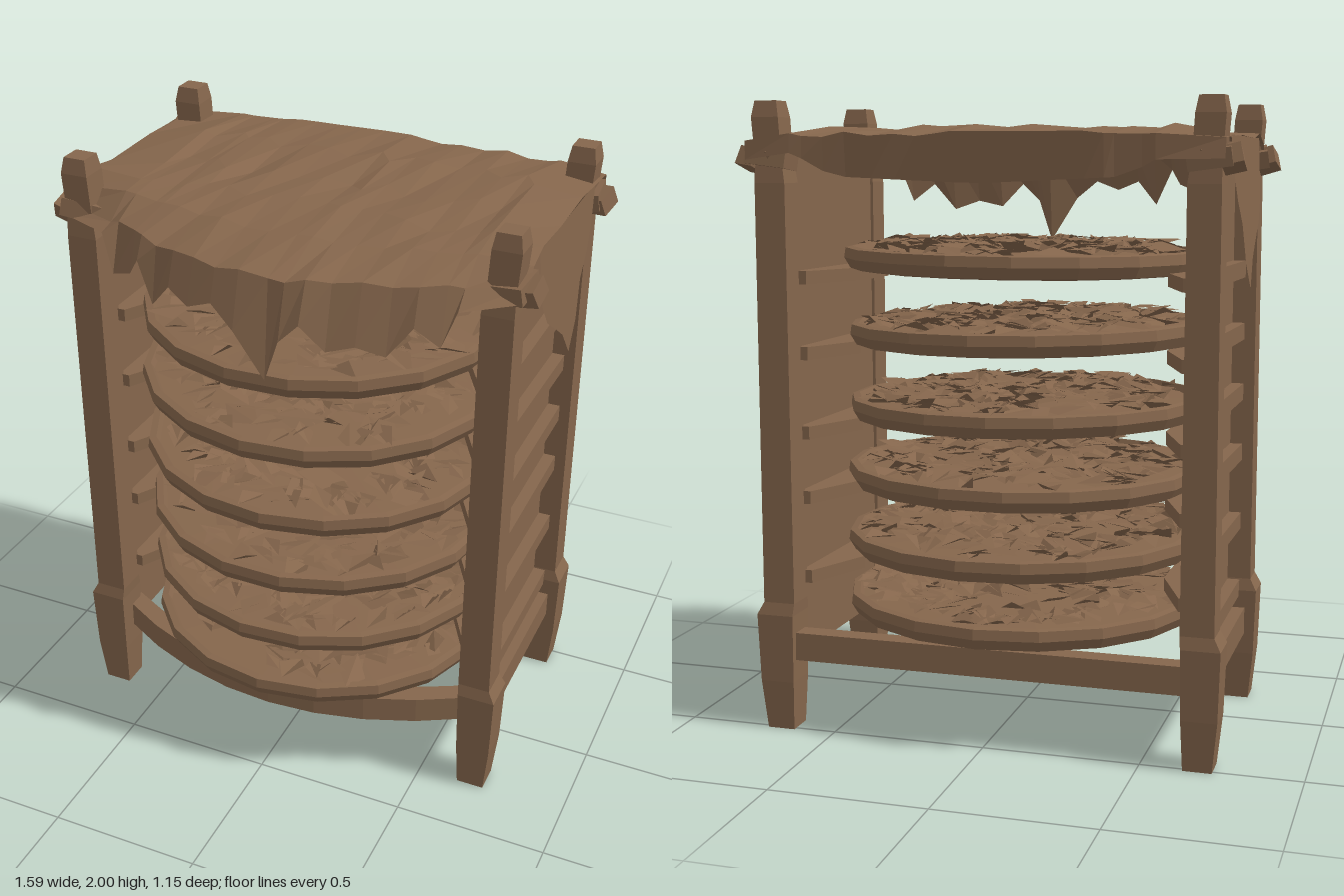
import * as THREE from 'three';

const wood = new THREE.MeshStandardMaterial({ color: 0x85664c, flatShading: true, side: THREE.DoubleSide });
wood.name = 'weathered brown';

let seed = 7;
const rnd = () => (seed = (seed * 16807) % 2147483647) / 2147483647;
const jitter = (a) => (rnd() - 0.5) * 2 * a;

function add(parent, name, geometry, x = 0, y = 0, z = 0) {
  const mesh = new THREE.Mesh(geometry, wood);
  mesh.name = name;
  mesh.position.set(x, y, z);
  parent.add(mesh);
  return mesh;
}
const box = (w, h, d) => new THREE.BoxGeometry(w, h, d);

// Plan outline in x and z, extruded downward from y = 0
const slab = (shape, depth) =>
  new THREE.ExtrudeGeometry(shape, { depth, bevelEnabled: false, curveSegments: 8 }).rotateX(Math.PI / 2);

// Surface from equal-length rows of [x, y, z]
function sheet(rows) {
  const n = rows[0].length, index = [];
  for (let r = 0; r < rows.length - 1; r++)
    for (let c = 0; c < n - 1; c++) {
      const a = r * n + c, b = a + n;
      index.push(a, b, a + 1, a + 1, b, b + 1);
    }
  const g = new THREE.BufferGeometry();
  g.setAttribute('position', new THREE.Float32BufferAttribute(rows.flat(2), 3));
  g.setIndex(index);
  g.computeVertexNormals();
  return g;
}

// Linear lookup in a list of [key, value] pairs
function lerpAt(list, k) {
  let i = 0;
  while (i < list.length - 2 && k > list[i + 1][0]) i++;
  const [a, b] = [list[i], list[i + 1]];
  return THREE.MathUtils.mapLinear(THREE.MathUtils.clamp(k, a[0], b[0]), a[0], b[0], a[1], b[1]);
}

// Square post with a swollen foot and a pinched tip: [height, half width, outward shift]
function postGeometry(side) {
  const rings = [[0, 0.045, 0.005], [0.16, 0.056, 0.01], [0.38, 0.061, 0.012], [0.42, 0.052, 0],
    [1.1, 0.051, 0], [1.75, 0.05, 0], [1.82, 0.044, 0.005], [1.95, 0.045, 0.014], [2, 0.036, 0.014]];
  const g = new THREE.BoxGeometry(2, 1, 2, 1, rings.length - 1, 1);
  const p = g.attributes.position;
  for (let i = 0; i < p.count; i++) {
    const [y, h, s] = rings[Math.round((p.getY(i) + 0.5) * (rings.length - 1))];
    p.setXYZ(i, p.getX(i) * h + s * side, y, p.getZ(i) * h);
  }
  return g;
}

// Loose curled leaves scattered over a disc
function leafGeometry(count, radius) {
  const pos = [];
  for (let i = 0; i < count; i++) {
    const r = radius * Math.sqrt(rnd()), a = rnd() * Math.PI * 2, t = rnd() * Math.PI * 2;
    const x = r * Math.cos(a), z = r * Math.sin(a), l = 0.04 + rnd() * 0.045, w = l * 0.6;
    const c = Math.cos(t), s = Math.sin(t), y = 0.016 * (1 - r / radius);
    const tip = [x + c * l, y + jitter(0.022), z + s * l], tail = [x - c * l, y + jitter(0.022), z - s * l];
    const left = [x - s * w, y + rnd() * 0.025, z + c * w], right = [x + s * w, y + jitter(0.02), z - c * w];
    pos.push(...tip, ...tail, ...left, ...tail, ...tip, ...right);
  }
  const g = new THREE.BufferGeometry();
  g.setAttribute('position', new THREE.Float32BufferAttribute(pos, 3));
  g.computeVertexNormals();
  return g;
}

export function createModel() {
  const model = new THREE.Group();
  model.name = 'dryingRack';

  for (const s of [-1, 1]) {
    // Corner posts with lumpy ties near the top
    for (const z of [0.255, -0.47]) {
      add(model, 'post', postGeometry(s), s * 0.675, 0, z);
      const tie = add(model, 'tie', box(0.13, 0.055, 0.12), s * 0.685, 1.825, z - 0.01);
      tie.rotation.set(jitter(0.2), jitter(0.2), s * 0.12);
      const knot = add(model, 'knot', box(0.07, 0.06, 0.075), s * 0.745, 1.82, z - 0.01);
      knot.rotation.set(0.4, jitter(0.3), s * 0.25);
      if (z < 0) {
        const tail = add(model, 'tieTail', new THREE.ConeGeometry(0.04, 0.09, 4), s * 0.67, 1.83, z - 0.05);
        tail.rotation.x = -1.2;
      }
    }
    // Side wall with outer battens and lower side rail
    add(model, 'sidePanel', box(0.015, 1.56, 0.64), s * 0.642, 1.1, -0.107);
    add(model, 'sideRail', box(0.07, 0.09, 0.64), s * 0.675, 0.275, -0.107);
    [0.385, 0.625, 0.86, 1.06, 1.265, 1.47].forEach((y) => {
      add(model, 'batten', box(0.05, 0.055, 0.64), s * 0.665, y, -0.107).rotation.x = jitter(0.03);
    });
    // Tray runners, tapered toward both posts
    const plan = new THREE.Shape([[0.645, 0.21], [0.6, 0.21], [0.51, 0.05], [0.51, -0.2], [0.6, -0.43], [0.645, -0.43]]
      .map(([x, z]) => new THREE.Vector2(s * x, z)));
    [0.51, 0.77, 0.98, 1.235, 1.475].forEach((y) => add(model, 'runner', slab(plan, 0.042), 0, y, 0));
  }

  // Base: straight back rail and bowed front rail
  add(model, 'backRail', box(1.3, 0.09, 0.07), 0, 0.275, -0.47);
  const bow = new THREE.Shape();
  bow.moveTo(-0.65, 0.24);
  bow.quadraticCurveTo(0, 0.64, 0.65, 0.24);
  bow.lineTo(0.65, 0.17);
  bow.quadraticCurveTo(0, 0.55, -0.65, 0.17);
  add(model, 'frontRail', slab(bow, 0.09), 0, 0.32, 0);

  // Six round trays filled with leaves
  const rim = [[0, -0.03], [0.53, -0.04], [0.57, -0.034], [0.59, 0], [0.585, 0.032], [0.562, 0.036], [0.55, 0.015], [0, 0.034]]
    .map(([r, y]) => new THREE.Vector2(r, y));
  [0.37, 0.58, 0.8, 1.025, 1.27, 1.505].forEach((y, i) => {
    const tray = new THREE.Group();
    tray.name = 'tray';
    tray.position.set(jitter(0.008), y, -0.02);
    tray.scale.z = 0.945;
    tray.rotation.z = jitter(0.012);
    model.add(tray);
    add(tray, 'trayBasket', new THREE.LatheGeometry(rim, 18)).rotation.y = i * 0.6;
    add(tray, 'leaves', leafGeometry(240, 0.52), 0, 0.04, 0);
  });

  // Cloth roof: sags over the frame and hangs in a ragged front hem
  const front = [[-0.74, 0.29], [-0.36, 0.48], [-0.07, 0.57], [0.15, 0.565], [0.5, 0.45], [0.74, 0.29]];
  const backHem = [[-0.74, 1.84], [-0.58, 1.84], [-0.45, 1.77], [0, 1.75], [0.45, 1.77], [0.58, 1.84], [0.74, 1.84]];
  const hem = [[-0.74, 1.83], [-0.54, 1.83], [-0.5, 1.71], [-0.42, 1.74], [-0.39, 1.79], [-0.33, 1.67], [-0.26, 1.75],
    [-0.18, 1.72], [-0.1, 1.75], [-0.02, 1.69], [0.07, 1.54], [0.12, 1.68], [0.18, 1.74], [0.25, 1.66], [0.33, 1.68],
    [0.41, 1.65], [0.48, 1.74], [0.55, 1.68], [0.59, 1.79], [0.74, 1.82]];
  const xs = hem.map(([x]) => x);
  const row = (f) => xs.map((x) => {
    const edge = lerpAt(front, x), side = Math.abs(x) > 0.7 ? 0.02 : 0;
    const [y, z] = f(x, edge);
    return [x, y - side, z];
  });
  add(model, 'clothRoof', sheet([
    row((x) => [lerpAt(backHem, x), -0.555 + jitter(0.008)]),
    row((x) => [1.895 + jitter(0.008), -0.55 - 0.025 * (1 - Math.abs(x) / 0.74)]),
    row(() => [1.92 + jitter(0.01), -0.3 + jitter(0.05)]),
    row(() => [1.915 + jitter(0.012), -0.05 + jitter(0.06)]),
    row(() => [1.915 + jitter(0.01), 0.13 + jitter(0.03)]),
    row((x, e) => [1.9 + jitter(0.008), Math.min(e - 0.03, 0.2 + (e - 0.29) * 0.45)]),
    row((x, e) => [1.85 + jitter(0.01), e - 0.045]),
    row((x, e) => [lerpAt(hem, x), e + jitter(0.012)]),
  ]));

  // Hanging flaps on both sides, leaning slightly outward
  const flap = [[0.13, 1.87], [0.1, 1.7], [0.05, 1.63], [-0.04, 1.57], [-0.11, 1.52],
    [-0.18, 1.43], [-0.25, 1.51], [-0.29, 1.63], [-0.36, 1.7], [-0.4, 1.77], [-0.43, 1.87]];
  for (const s of [-1, 1]) {
    const lean = (y) => s * (0.735 + (1.89 - y) * 0.06);
    add(model, 'sideFlap', sheet([
      flap.map(([z]) => [lean(1.89), 1.89, z]),
      flap.map(([z, y]) => [lean(y), y, z]),
    ]));
  }
  return model;
}
